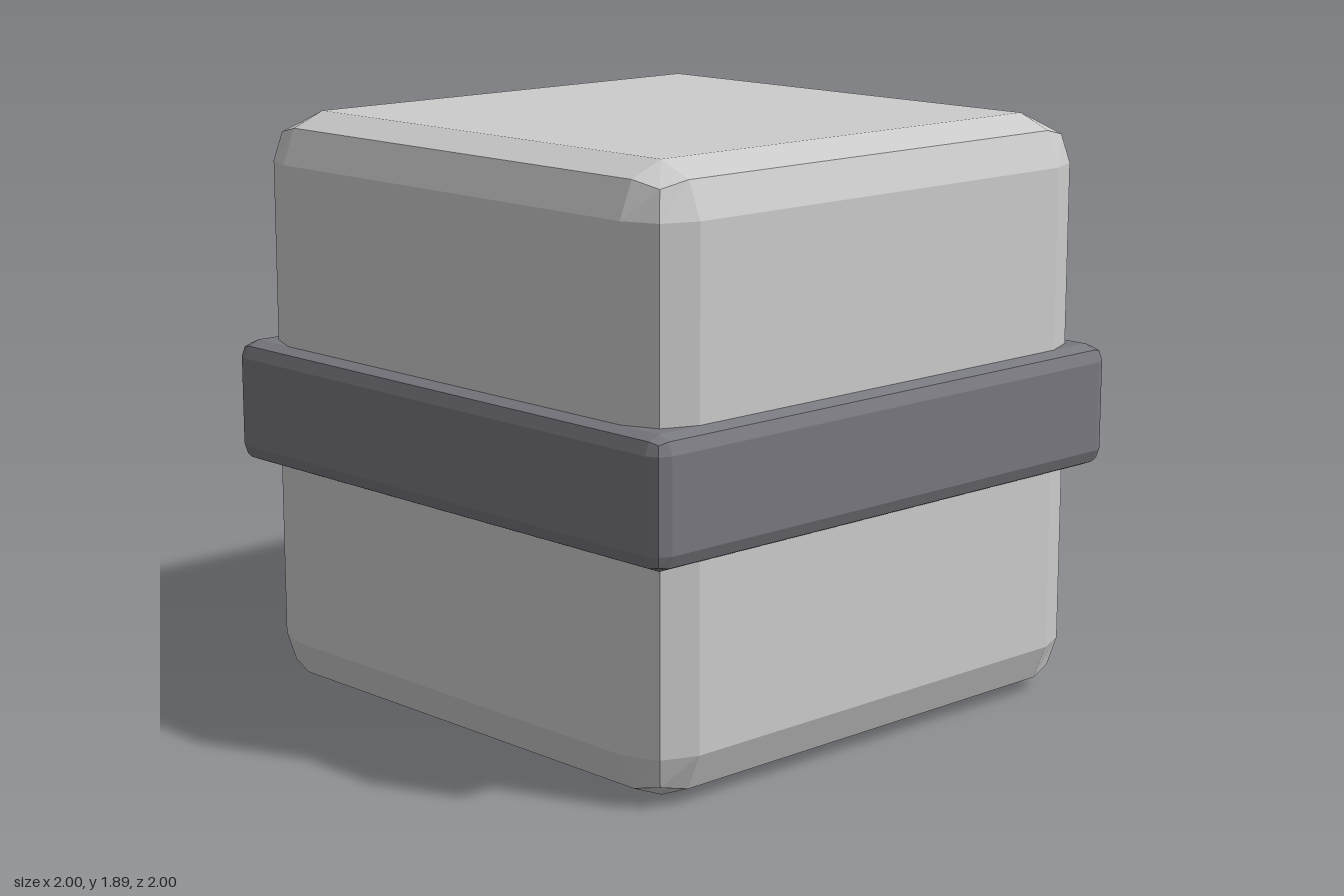
import * as THREE from 'three';
import { RoundedBoxGeometry } from 'three/addons/geometries/RoundedBoxGeometry.js';

const CENTRE_Y = 0.945;

// A box with bevelled edges, two facets per edge
function bevelledBox(name, width, height, radius, color) {
  const mesh = new THREE.Mesh(
    new RoundedBoxGeometry(width, height, width, 1, radius),
    new THREE.MeshStandardMaterial({ color, flatShading: true })
  );
  mesh.name = name;
  mesh.position.y = CENTRE_Y;
  return mesh;
}

export function createModel() {
  const model = new THREE.Group();
  model.name = 'bandedCube';
  // Main cube
  model.add(bevelledBox('body', 1.89, 1.89, 0.16, 0xcccccc));
  // Dark strap around the middle
  model.add(bevelledBox('band', 2, 0.4, 0.055, 0x78787f));
  return model;
}
